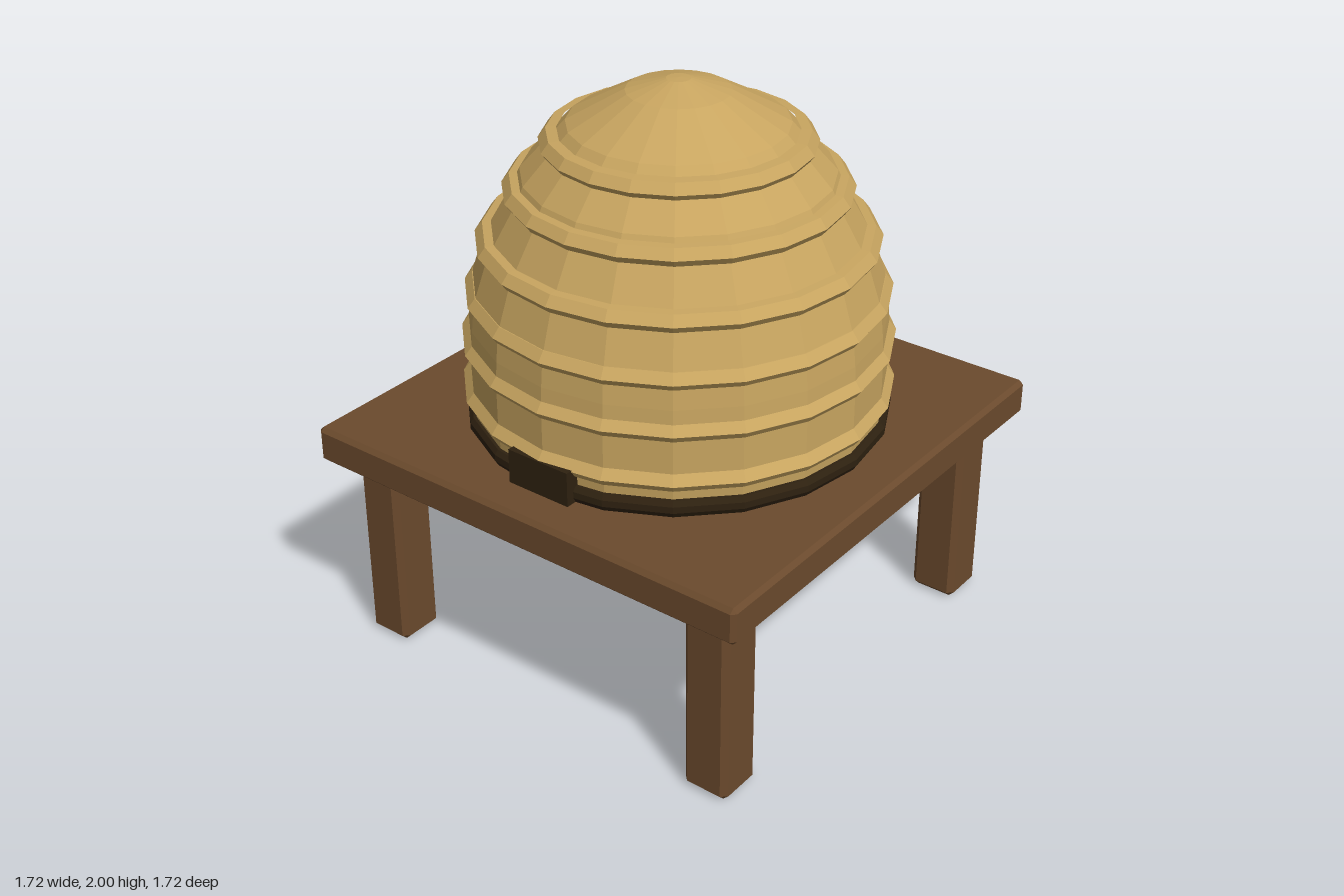
import * as THREE from 'three';
import { ConvexGeometry } from 'three/addons/geometries/ConvexGeometry.js';

const SIDES = 20;

// Box with flat chamfers on every edge
function chamferBox(w, h, d, c) {
  const pts = [];
  for (const sx of [-1, 1]) for (const sy of [-1, 1]) for (const sz of [-1, 1]) {
    const x = w / 2, y = h / 2, z = d / 2;
    pts.push(
      new THREE.Vector3(sx * x, sy * (y - c), sz * (z - c)),
      new THREE.Vector3(sx * (x - c), sy * y, sz * (z - c)),
      new THREE.Vector3(sx * (x - c), sy * (y - c), sz * z));
  }
  return new ConvexGeometry(pts);
}

// Faceted solid of revolution, profile listed from bottom to top
function turned(profile) {
  return new THREE.LatheGeometry(profile.map(([r, y]) => new THREE.Vector2(r, y)), SIDES);
}

export function createModel() {
  const group = new THREE.Group();
  const material = (name, color) => {
    const m = new THREE.MeshStandardMaterial({ color, flatShading: true });
    m.name = name;
    return m;
  };
  const straw = material('straw', 0xc8a560);
  const wood = material('wood', 0x6b4a2d);
  const dark = material('dark', 0x2e2110);

  const add = (name, geometry, mat, x = 0, y = 0, z = 0) => {
    const mesh = new THREE.Mesh(geometry, mat);
    mesh.name = name;
    mesh.position.set(x, y, z);
    group.add(mesh);
  };

  // Stand: table top and four legs
  add('tableTop', chamferBox(1.715, 0.13, 1.715, 0.015), wood, 0, 0.76, 0);
  const leg = chamferBox(0.168, 0.69, 0.168, 0.02);
  for (const sx of [-1, 1]) for (const sz of [-1, 1]) {
    add('leg', leg, wood, sx * 0.687, 0.345, sz * 0.687);
  }

  // Straw dome
  add('dome', turned([
    [0.69, 0.826], [0.7, 0.95], [0.7, 1.12], [0.695, 1.2], [0.685, 1.3],
    [0.64, 1.44], [0.61, 1.5], [0.545, 1.615], [0.51, 1.69], [0.42, 1.79],
    [0.36, 1.855], [0.17, 1.96], [0.04, 1.998], [0, 2],
  ]), straw);

  // Raised straw coils: [outer radius, height]
  const coils = [[0.725, 0.945], [0.722, 1.12], [0.705, 1.29], [0.664, 1.465], [0.57, 1.638], [0.448, 1.795]];
  for (const [r, y] of coils) {
    add('coil', turned([[r - 0.05, y - 0.035], [r - 0.018, y - 0.025], [r, y], [r - 0.025, y + 0.033], [r - 0.06, y + 0.036]]), straw);
  }

  // Dark foot ring and entrance
  add('footRing', turned([[0.705, 0.825], [0.717, 0.845], [0.717, 0.868], [0.705, 0.884], [0.66, 0.884]]), dark);
  add('entrance', new THREE.BoxGeometry(0.24, 0.122, 0.06), dark, 0, 0.888, 0.697);

  return group;
}
